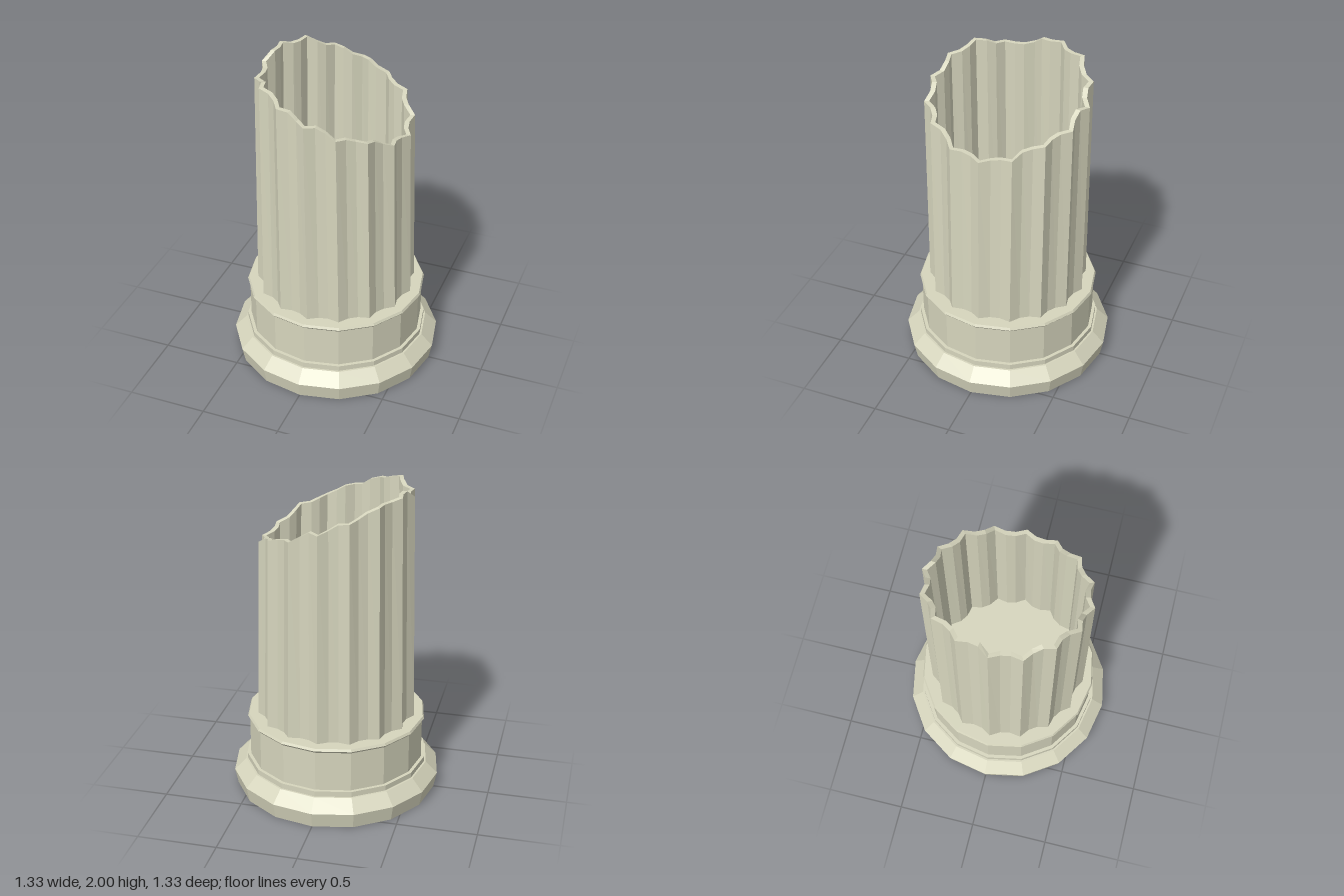
import * as THREE from 'three';

const stone = new THREE.MeshStandardMaterial({ color: 0xd6d5bd, flatShading: true });

const FLOOR = 0.5; // top of the base, where the shaft starts
const WALL = 0.03;

// Height of the broken rim, every 7.5 degrees from +x towards +z
const RIM = [
  1.63, 1.64, 1.65, 1.655, 1.68, 1.715, 1.735, 1.745, 1.765, 1.775, 1.81, 1.84,
  1.845, 1.86, 1.9, 1.915, 1.93, 1.95, 1.965, 1.965, 1.94, 1.935, 1.94, 1.94,
  1.95, 2, 2, 2, 1.985, 1.985, 1.985, 1.955, 1.925, 1.91, 1.9, 1.865,
  1.84, 1.845, 1.81, 1.775, 1.765, 1.75, 1.735, 1.715, 1.7, 1.66, 1.65, 1.64,
];

// Sixteen-sided moulded base, closed at top and bottom
function createBase() {
  const profile = [
    [0, 0], [0.645, 0], [0.665, 0.1], [0.59, 0.175], [0.578, 0.175], [0.578, 0.21],
    [0.557, 0.21], [0.557, 0.47], [0.57, 0.485], [0.562, FLOOR], [0, FLOOR],
  ].map(([r, y]) => new THREE.Vector2(r, y));
  const base = new THREE.Mesh(new THREE.LatheGeometry(profile, 16), stone);
  base.name = 'base';
  return base;
}

// Point on the fluted wall: every third point is a ridge, the rest form the groove
function wallPoint(i, y, inset) {
  const k = i % RIM.length;
  const angle = (k / RIM.length) * Math.PI * 2;
  const r = (k % 3 === 0 ? 0.504 : 0.471) - inset;
  const x = r * Math.cos(angle);
  // The shaft narrows slightly across its width and leans a little
  const lean = (y - FLOOR) * (0.05 * x + 0.005);
  return [x - lean, y, r * Math.sin(angle)];
}

// Hollow fluted shaft with a jagged, slanting break
function createShaft() {
  const positions = [];
  const quad = (a, b, c, d) => positions.push(...a, ...b, ...c, ...a, ...c, ...d);
  for (let i = 0; i < RIM.length; i++) {
    const j = i + 1;
    const hi = RIM[i];
    const hj = RIM[j % RIM.length];
    const outLowI = wallPoint(i, FLOOR, 0), outLowJ = wallPoint(j, FLOOR, 0);
    const outTopI = wallPoint(i, hi, 0), outTopJ = wallPoint(j, hj, 0);
    const inLowI = wallPoint(i, FLOOR, WALL), inLowJ = wallPoint(j, FLOOR, WALL);
    const inTopI = wallPoint(i, hi, WALL), inTopJ = wallPoint(j, hj, WALL);
    quad(outLowI, outTopI, outTopJ, outLowJ); // outside
    quad(inLowJ, inTopJ, inTopI, inLowI); // inside
    quad(outTopI, inTopI, inTopJ, outTopJ); // broken edge
  }
  const geometry = new THREE.BufferGeometry();
  geometry.setAttribute('position', new THREE.Float32BufferAttribute(positions, 3));
  geometry.computeVertexNormals();
  const shaft = new THREE.Mesh(geometry, stone);
  shaft.name = 'flutedShaft';
  return shaft;
}

export function createModel() {
  const model = new THREE.Group();
  model.name = 'brokenColumn';
  model.add(createBase(), createShaft());
  return model;
}
